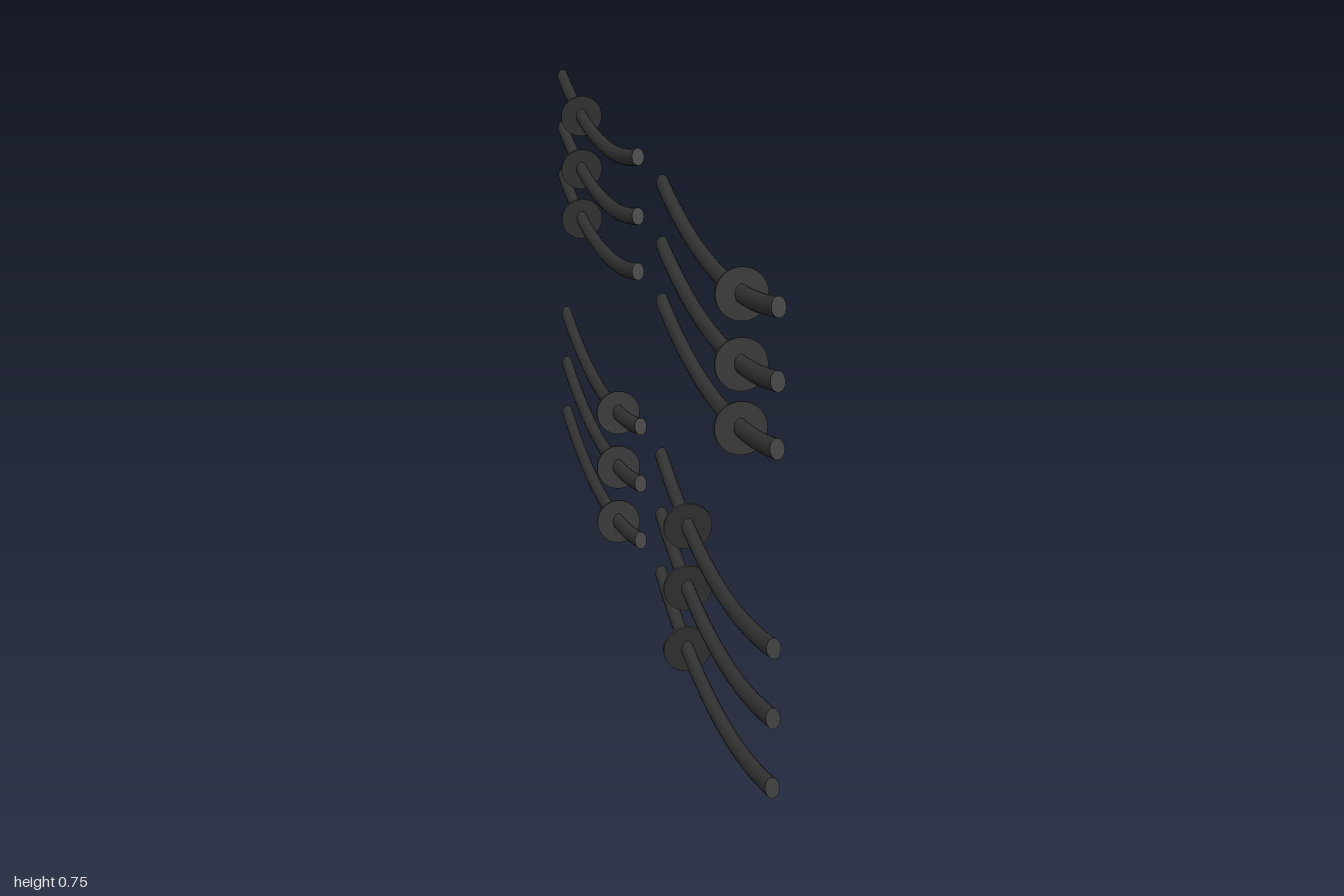
import * as THREE from 'three';

const material = new THREE.MeshStandardMaterial({ color: 0x333333 });

// Height of a sagging rod: t runs from the front end (0) to the back end (1)
const heightAt = (s, t) => s.yFront + (s.yBack - s.yFront) * t - s.sag * 4 * t * (1 - t);
const slopeAt = (s, t) =>
  (s.yBack - s.yFront - s.sag * 4 * (1 - 2 * t)) / (s.zBack - s.zFront);

// Oval bar bent along the sag curve, with end caps square to the curve
function rodGeometry(s) {
  const length = s.zFront - s.zBack;
  const g = new THREE.CylinderGeometry(0.0145, 0.0145, length, 20, 32);
  g.rotateX(Math.PI / 2);
  g.scale(0.7, 1, 1);
  const p = g.attributes.position;
  for (let i = 0; i < p.count; i++) {
    const t = 0.5 - p.getZ(i) / length;
    const y = p.getY(i);
    const angle = Math.atan(slopeAt(s, t));
    const z = s.zFront + (s.zBack - s.zFront) * t;
    p.setXYZ(i, p.getX(i), heightAt(s, t) + y * Math.cos(angle), z - y * Math.sin(angle));
  }
  g.computeVertexNormals();
  return g;
}

export function createModel() {
  const model = new THREE.Group();
  model.name = 'curvedRodSet';

  const sets = [
    { name: 'upperFront', zFront: 0.998, zBack: 0.118, yFront: 0.735, yBack: 0.735, sag: 0.046, disc: 0.755, rows: [0, 0.1, 0.192] },
    { name: 'upperBack', zFront: -0.115, zBack: -0.998, yFront: 0.735, yBack: 0.735, sag: 0.046, disc: -0.755, rows: [0, 0.1, 0.194] },
    { name: 'lowerFront', zFront: 0.99, zBack: 0.113, yFront: 0.263, yBack: 0.287, sag: 0.052, disc: 0.35, rows: [0, 0.1, 0.2] },
    { name: 'lowerBack', zFront: -0.09, zBack: -0.965, yFront: 0.28, yBack: 0.274, sag: 0.047, disc: -0.33, rows: [0, 0.1, 0.2] },
  ];

  // Thin round guard, facing along the rod
  const discGeometry = new THREE.CylinderGeometry(0.038, 0.038, 0.006, 32);
  discGeometry.rotateX(Math.PI / 2);

  for (const s of sets) {
    const rodShape = rodGeometry(s);
    const t = (s.disc - s.zFront) / (s.zBack - s.zFront);
    s.rows.forEach((drop, i) => {
      const unit = new THREE.Group();
      unit.name = `${s.name}Rod${i + 1}`;
      unit.position.y = -drop;

      const rod = new THREE.Mesh(rodShape, material);
      rod.name = 'rod';

      const disc = new THREE.Mesh(discGeometry, material);
      disc.name = 'guardDisc';
      disc.position.set(0, heightAt(s, t), s.disc);
      disc.rotation.x = -Math.atan(slopeAt(s, t));

      unit.add(rod, disc);
      model.add(unit);
    });
  }
  return model;
}
